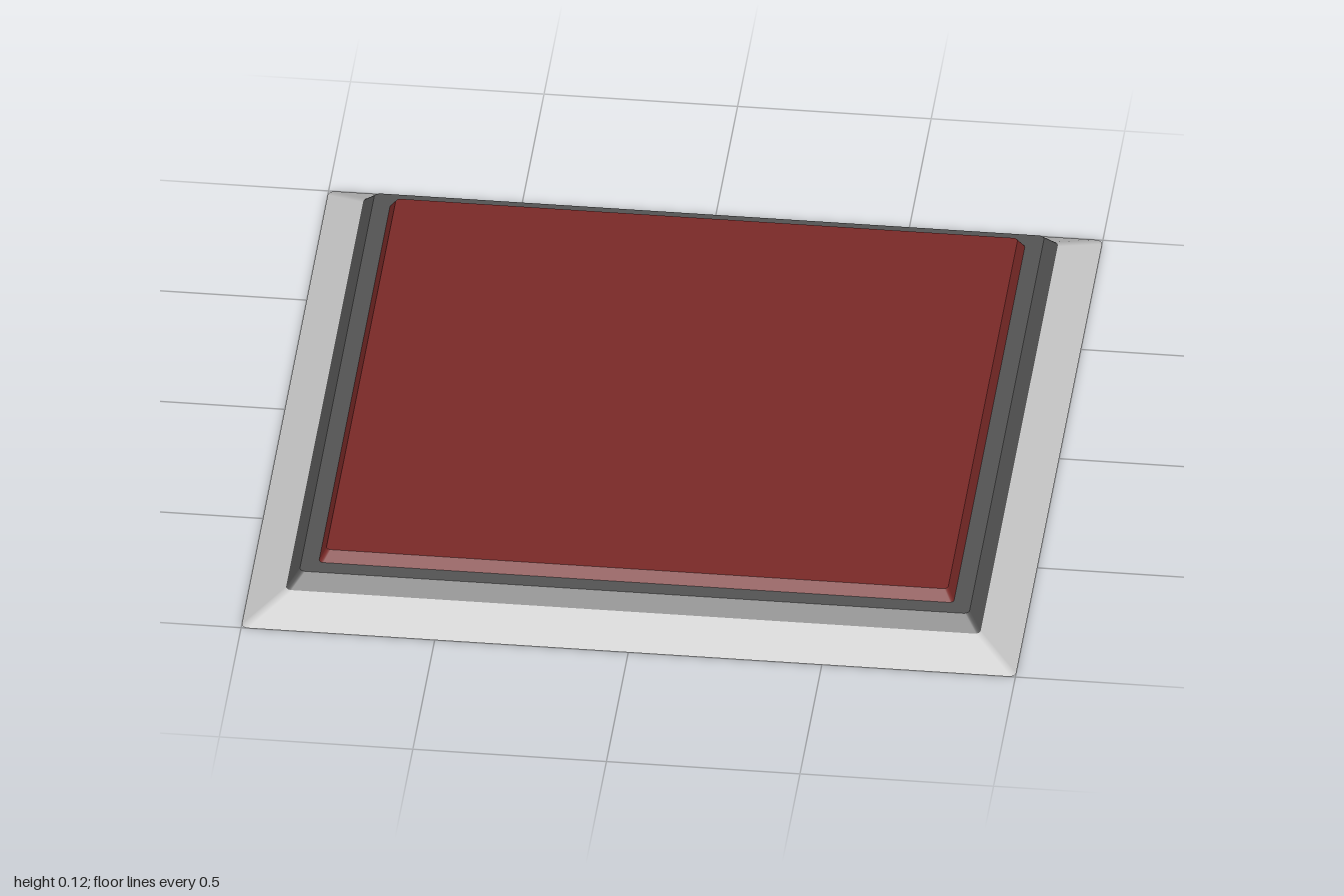
import * as THREE from 'three';

const CORNER_STEPS = 5;

// Outline of a rounded square, counter-clockwise seen from above
function outline(half, radius) {
  const points = [];
  for (let c = 0; c < 4; c++) {
    const mid = Math.PI / 4 + c * Math.PI / 2;
    const cx = Math.sign(Math.cos(mid)) * (half - radius);
    const cz = Math.sign(Math.sin(mid)) * (half - radius);
    for (let i = 0; i <= CORNER_STEPS; i++) {
      const a = c * Math.PI / 2 + (i / CORNER_STEPS) * Math.PI / 2;
      points.push([cx + radius * Math.cos(a), -(cz + radius * Math.sin(a))]);
    }
  }
  return points;
}

// Closed slab with sloping sides, smooth round its corners and sharp at its rims
function slab(name, color, { bottom, top, y0, y1, radius }) {
  const low = outline(bottom, radius);
  const high = outline(top, radius);
  const n = low.length;
  const positions = [];
  const normals = [];
  const index = [];
  const add = (x, y, z, normal) => {
    positions.push(x, y, z);
    normals.push(...normal);
    return positions.length / 3 - 1;
  };

  // Sloping sides
  const run = bottom - top;
  const rise = y1 - y0;
  for (let i = 0; i < n; i++) {
    const corner = Math.floor(i / (CORNER_STEPS + 1));
    const a = (corner + (i % (CORNER_STEPS + 1)) / CORNER_STEPS) * Math.PI / 2;
    const normal = new THREE.Vector3(rise * Math.cos(a), run, -rise * Math.sin(a)).normalize().toArray();
    add(low[i][0], y0, low[i][1], normal);
    add(high[i][0], y1, high[i][1], normal);
  }
  for (let i = 0; i < n; i++) {
    const a = 2 * i;
    const b = 2 * ((i + 1) % n);
    index.push(a, b, b + 1, a, b + 1, a + 1);
  }

  // Flat top and underside
  for (const [ring, y, up] of [[high, y1, 1], [low, y0, -1]]) {
    const centre = add(0, y, 0, [0, up, 0]);
    ring.forEach(([x, z]) => add(x, y, z, [0, up, 0]));
    for (let i = 0; i < n; i++) {
      const a = centre + 1 + i;
      const b = centre + 1 + (i + 1) % n;
      index.push(centre, ...(up > 0 ? [a, b] : [b, a]));
    }
  }

  const geometry = new THREE.BufferGeometry();
  geometry.setAttribute('position', new THREE.Float32BufferAttribute(positions, 3));
  geometry.setAttribute('normal', new THREE.Float32BufferAttribute(normals, 3));
  geometry.setIndex(index);
  const mesh = new THREE.Mesh(geometry, new THREE.MeshStandardMaterial({ color }));
  mesh.name = name;
  return mesh;
}

export function createModel() {
  const model = new THREE.Group();
  model.name = 'floorPlate';
  model.add(
    slab('base', 0xcccccc, { bottom: 1, top: 0.895, y0: 0, y1: 0.056, radius: 0.018 }),
    slab('rim', 0x555555, { bottom: 0.897, top: 0.865, y0: 0.056, y1: 0.095, radius: 0.015 }),
    slab('panel', 0x7c2a28, { bottom: 0.82, top: 0.803, y0: 0.095, y1: 0.125, radius: 0.012 }),
  );
  return model;
}
